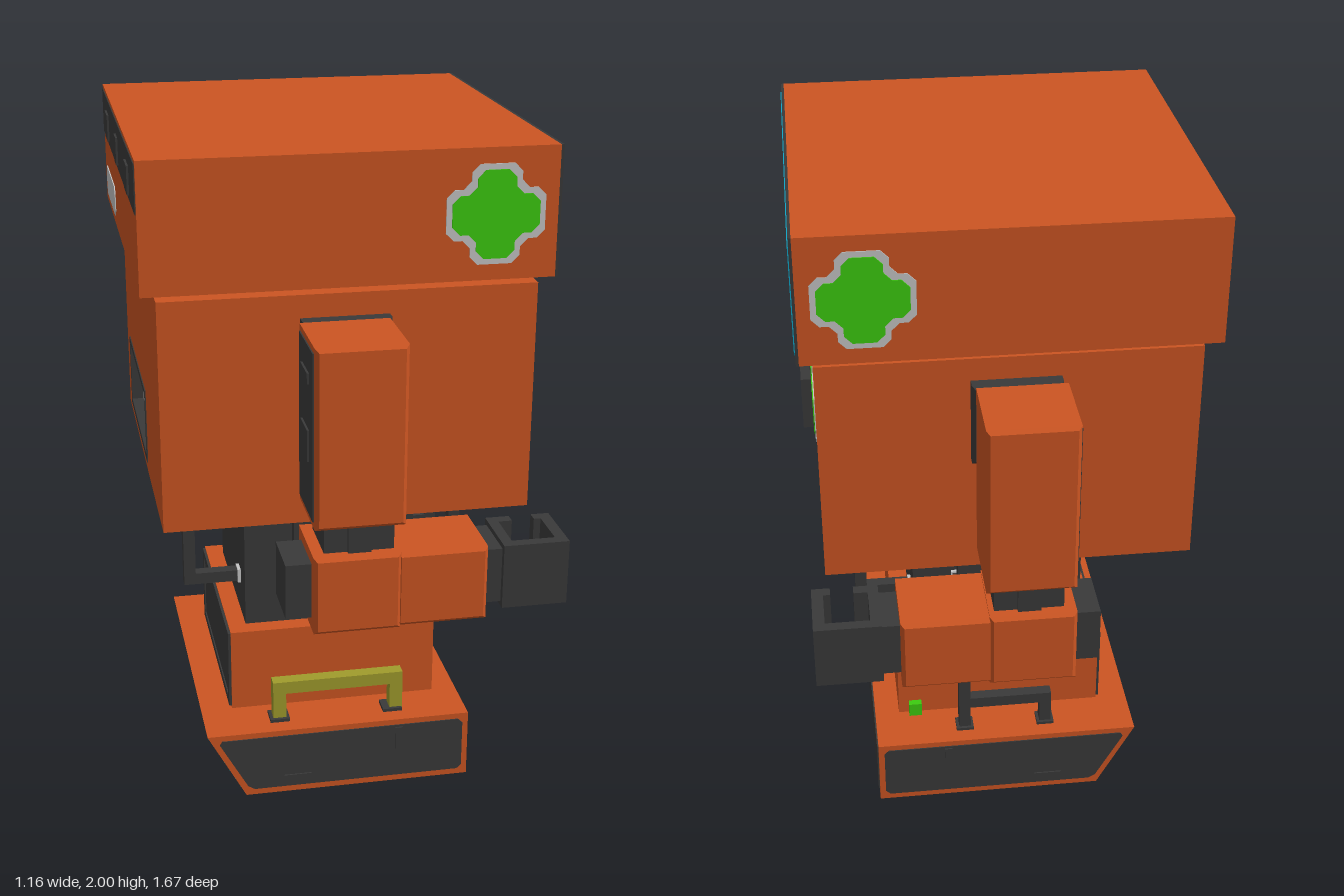
import * as THREE from 'three';

const paint = (name, color) => {
  const m = new THREE.MeshStandardMaterial({ color });
  m.name = name;
  return m;
};

export function createModel() {
  const orange = paint('orange', 0xcc5522), dark = paint('charcoal', 0x3a3a3a);
  const cyan = paint('visorBlue', 0x0ea6c8), green = paint('green', 0x3ccb10);
  const grey = paint('lightGrey', 0xc6c6c6), yellow = paint('olive', 0xa09c2c);
  const teal = paint('teal', 0x38c5b8);
  const root = new THREE.Group();
  root.name = 'robot';
  let target = root;

  const group = (name, build) => {
    const g = new THREE.Group();
    g.name = name;
    root.add(g);
    target = g;
    build();
    target = root;
    return g;
  };
  const add = (name, geo, mat) => {
    const m = new THREE.Mesh(geo, mat);
    m.name = name;
    target.add(m);
    return m;
  };
  // Box given by its limits on each axis
  const box = (name, mat, x0, x1, y0, y1, z0, z1) => {
    const g = new THREE.BoxGeometry(Math.abs(x1 - x0), Math.abs(y1 - y0), Math.abs(z1 - z0));
    return add(name, g.translate((x0 + x1) / 2, (y0 + y1) / 2, (z0 + z1) / 2), mat);
  };
  // Box with small chamfered edges
  const softBox = (name, mat, x0, x1, y0, y1, z0, z1, b = 0.01) => {
    const s = new THREE.Shape(rect(x0 + b, x1 - b, y0 + b, y1 - b));
    const g = new THREE.ExtrudeGeometry(s, { depth: z1 - z0 - 2 * b, bevelThickness: b, bevelSize: b, bevelSegments: 1 });
    return add(name, g.translate(0, 0, z0 + b), mat);
  };
  const vec = (x, y) => new THREE.Vector2(x, y);
  const rect = (u0, u1, v0, v1) => [vec(u0, v0), vec(u1, v0), vec(u1, v1), vec(u0, v1)];
  // Cut every corner of an outline
  const cut = (pts, c) => pts.flatMap((p, i) => {
    const a = pts[(i + pts.length - 1) % pts.length], b = pts[(i + 1) % pts.length];
    return [a, b].map(q => p.clone().add(q.clone().sub(p).setLength(c)));
  });
  // Outline laid on a wall: angle 0 faces +z, PI/2 +x, PI -z, -PI/2 -x
  const plate = (name, mat, pts, angle, dist, t = 0.006, hole) => {
    const s = new THREE.Shape(pts);
    if (hole) s.holes.push(new THREE.Path(hole));
    const g = new THREE.ExtrudeGeometry(s, { depth: t, bevelEnabled: false });
    return add(name, g.translate(0, 0, dist - t).rotateY(angle), mat);
  };
  const FRONT = 0, LEFT = Math.PI / 2, BACK = Math.PI, RIGHT = -Math.PI / 2;

  const crossPts = (u, v, r, w) => cut([[w, r], [-w, r], [-w, w], [-r, w], [-r, -w], [-w, -w],
    [-w, -r], [w, -r], [w, -w], [r, -w], [r, w], [w, w]].map(([a, b]) => vec(u + a, v + b)), 0.022);
  const cross = (u, v, angle, dist) => {
    plate('crossBorder', grey, crossPts(u, v, 0.138, 0.07), angle, dist + 0.003);
    plate('crossFill', green, crossPts(u, v, 0.122, 0.054), angle, dist + 0.006);
  };
  // Square pipe through axis-aligned points
  const pipe = (name, mat, pts, r = 0.018) => {
    for (let i = 1; i < pts.length; i++) {
      const lo = [0, 1, 2].map(k => Math.min(pts[i - 1][k], pts[i][k]) - r);
      const hi = [0, 1, 2].map(k => Math.max(pts[i - 1][k], pts[i][k]) + r);
      box(name, mat, lo[0], hi[0], lo[1], hi[1], lo[2], hi[2]);
    }
  };

  group('head', () => {
    box('headShell', orange, -0.575, 0.565, 1.635, 2, -0.583, 0.583);
    box('visorFrame', dark, 0.565, 0.573, 1.635, 2, -0.583, 0.583);
    plate('visorGlass', cyan, cut(rect(-0.567, 0.567, 1.652, 1.984), 0.015), LEFT, 0.576);
    plate('rearBand', dark, rect(-0.57, 0.57, 1.855, 1.99), RIGHT, 0.578);
    for (const [z0, z1] of [[-0.4, -0.31], [-0.035, 0.035], [0.32, 0.41]])
      plate('rearVent', dark, rect(z0, z1, 1.87, 1.95), RIGHT, 0.584);
    plate('rearLabel', grey, cut(rect(-0.52, -0.185, 1.665, 1.755), 0.02), RIGHT, 0.578);
    cross(0.39, 1.818, FRONT, 0.583);
    cross(-0.39, 1.818, BACK, 0.583);
    box('neck', dark, -0.43, 0.42, 1.6, 1.64, -0.43, 0.43);
  });

  group('body', () => {
    box('bodyShell', orange, -0.43, 0.53, 0.937, 1.61, -0.548, 0.548);
    // Rear wall with an open service bay
    const bay = () => rect(-0.44, 0.1, 0.97, 1.2);
    plate('rearWall', orange, rect(-0.548, 0.548, 0.937, 1.61), RIGHT, 0.53, 0.1, bay());
    plate('bayFrame', dark, bay(), RIGHT, 0.533, 0.1, rect(-0.42, 0.08, 0.988, 1.182));
    plate('bayFloor', dark, rect(-0.43, 0.09, 0.98, 1.19), RIGHT, 0.445);
    box('bayValve', grey, -0.52, -0.44, 1.1, 1.15, -0.12, -0.04);
    box('bayValveCap', grey, -0.5, -0.44, 1.06, 1.1, -0.16, -0.1);
    box('bayValveStem', grey, -0.49, -0.44, 1.15, 1.175, -0.09, -0.06);
    pipe('bayPipe', dark, [[-0.47, 1.0, -0.33], [-0.47, 1.09, -0.33], [-0.47, 1.09, -0.2]], 0.015);
    // Chest details
    plate('labelFrame', dark, cut(rect(-0.52, -0.115, 1.453, 1.577), 0.02), LEFT, 0.533);
    plate('labelFace', grey, cut(rect(-0.505, -0.13, 1.468, 1.562), 0.015), LEFT, 0.536);
    plate('labelBar', green, rect(-0.46, -0.2, 1.53, 1.541), LEFT, 0.538);
    for (const y of [1.485, 1.5, 1.515])
      plate('labelLine', teal, rect(-0.46, -0.2, y, y + 0.009), LEFT, 0.538);
    plate('chestPanel', dark, cut(rect(-0.515, -0.115, 0.973, 1.28), 0.015), LEFT, 0.534);
    cross(0.373, 1.443, LEFT, 0.53);
  });

  // Arms, mirrored across z
  for (const s of [1, -1]) {
    const mid = 0.71 * s;
    group(s > 0 ? 'frontArm' : 'rearArm', () => {
      softBox('shoulder', dark, -0.14, 0.11, 1.3, 1.545, 0.565 * s - 0.024, 0.565 * s + 0.024, 0.01);
      softBox('upperArm', orange, -0.15, 0.1, 1.035, 1.547, mid - 0.123, mid + 0.123);
      plate('upperArmPanel', dark, rect(mid - 0.1, mid + 0.1, 1.055, 1.53), RIGHT, 0.154);
      plate('armVent', dark, rect(mid - 0.05, mid + 0.05, 1.21, 1.3), RIGHT, 0.16);
      plate('armLatch', dark, rect(mid - 0.05, mid + 0.05, 1.43, 1.46), RIGHT, 0.16);
      box('elbow', dark, -0.12, 0.075, 0.93, 1.05, mid - 0.085, mid + 0.085);
      box('elbowRib', dark, -0.055, 0.01, 0.93, 1.05, mid - 0.097, mid + 0.097);
      softBox('forearmRear', orange, -0.153, 0.09, 0.725, 0.953, mid - 0.123, mid + 0.123);
      softBox('forearmFront', orange, 0.08, 0.335, 0.728, 0.947, mid - 0.117, mid + 0.117);
      box('elbowCap', dark, -0.225, -0.15, 0.76, 0.922, mid - 0.08, mid + 0.08);
      box('wrist', dark, 0.33, 0.39, 0.76, 0.922, mid - 0.08, mid + 0.08);
      // C-shaped gripper, open towards the body
      const claw = [[0.385, 0.613], [0.455, 0.613], [0.455, 0.645], [0.415, 0.645], [0.415, 0.775],
        [0.54, 0.775], [0.54, 0.645], [0.52, 0.645], [0.52, 0.613], [0.573, 0.613], [0.573, 0.807], [0.385, 0.807]];
      const g = new THREE.ExtrudeGeometry(new THREE.Shape(claw.map(([x, z]) => vec(x, -z * s))),
        { depth: 0.19, bevelEnabled: false });
      add('gripper', g.rotateX(-Math.PI / 2).translate(0, 0.747, 0), dark);
    });
  }

  group('waist', () => box('waistBlock', dark, -0.262, 0.262, 0.46, 0.94, -0.262, 0.262));

  // Hoses, repeated by a half turn
  for (const turn of [0, Math.PI]) {
    group('hoses', () => {
      pipe('lowHose', dark, [[0.113, 0.93, 0.425], [0.113, 0.537, 0.425], [0.113, 0.537, 0.26]]);
      pipe('highHose', dark, [[-0.122, 0.93, 0.425], [-0.122, 0.697, 0.425], [-0.122, 0.697, 0.26]]);
      pipe('sideHose', dark, [[0.42, 0.93, -0.152], [0.42, 0.598, -0.152], [0.26, 0.598, -0.152]]);
      pipe('crossHose', dark, [[0.42, 0.93, 0.145], [0.42, 0.752, 0.145], [0.42, 0.752, -0.152]]);
      box('collar', grey, 0.09, 0.136, 0.515, 0.56, 0.262, 0.272);
      box('collar', grey, -0.144, -0.1, 0.675, 0.72, 0.262, 0.272);
      box('collar', grey, 0.262, 0.272, 0.576, 0.62, -0.175, -0.13);
    }).rotation.y = turn;
  }

  group('base', () => {
    box('pedestal', orange, -0.316, 0.322, 0.2, 0.477, -0.316, 0.316);
    plate('pedestalPanel', dark, rect(-0.312, 0.312, 0.222, 0.473), RIGHT, 0.32);
    plate('pedestalFrame', dark, rect(-0.312, 0.312, 0.222, 0.473), RIGHT, 0.324, 0.006, rect(-0.285, 0.285, 0.245, 0.45));
    // Foot with a sloping rear end
    const side = new THREE.Shape([vec(-0.297, 0), vec(0.398, 0), vec(0.398, 0.215), vec(-0.413, 0.215)]);
    add('foot', new THREE.ExtrudeGeometry(side, { depth: 0.95, bevelEnabled: false }).translate(0, 0, -0.475), orange);
    const inset = cut([vec(-0.285, 0.02), vec(0.38, 0.02), vec(0.38, 0.197), vec(-0.383, 0.197)], 0.014);
    for (const z of [0.475, -0.475]) {
      const g = new THREE.ExtrudeGeometry(new THREE.Shape(inset), { depth: 0.006, bevelEnabled: false });
      add('footSidePanel', g.translate(0, 0, z - 0.003), dark);
      box('sideSlot', dark, 0.167, 0.19, 0.105, 0.19, z - 0.007, z + 0.007);
      box('sideStep', dark, -0.18, -0.095, 0.037, 0.06, z - 0.007, z + 0.007);
    }
    plate('footFrontPanel', dark, rect(-0.453, 0.453, 0.024, 0.198), LEFT, 0.402);
    const slope = add('footRearPanel', new THREE.BoxGeometry(0.006, 0.218, 0.92), teal);
    slope.position.set(-0.355, 0.1075, 0);
    slope.rotation.z = Math.atan2(0.116, 0.215);
    // Grab handle
    pipe('handle', yellow, [[-0.182, 0.225, 0.395], [-0.182, 0.326, 0.395], [0.182, 0.326, 0.395], [0.182, 0.225, 0.395]], 0.02);
    for (const x of [-0.182, 0.17]) box('handleFoot', dark, x - 0.03, x + 0.03, 0.21, 0.225, 0.365, 0.425);
    // Rear piping
    pipe('rearPipe', dark, [[0.12, 0.42, -0.31], [0.12, 0.42, -0.4], [0.12, 0.23, -0.4]]);
    pipe('rearPipe', dark, [[0.12, 0.315, -0.4], [-0.135, 0.315, -0.4], [-0.135, 0.23, -0.4]]);
    for (const x of [0.12, -0.135]) box('pipeFoot', dark, x - 0.027, x + 0.027, 0.21, 0.224, -0.427, -0.373);
    box('indicator', green, 0.25, 0.29, 0.215, 0.26, -0.338, -0.316);
  });

  return root;
}
